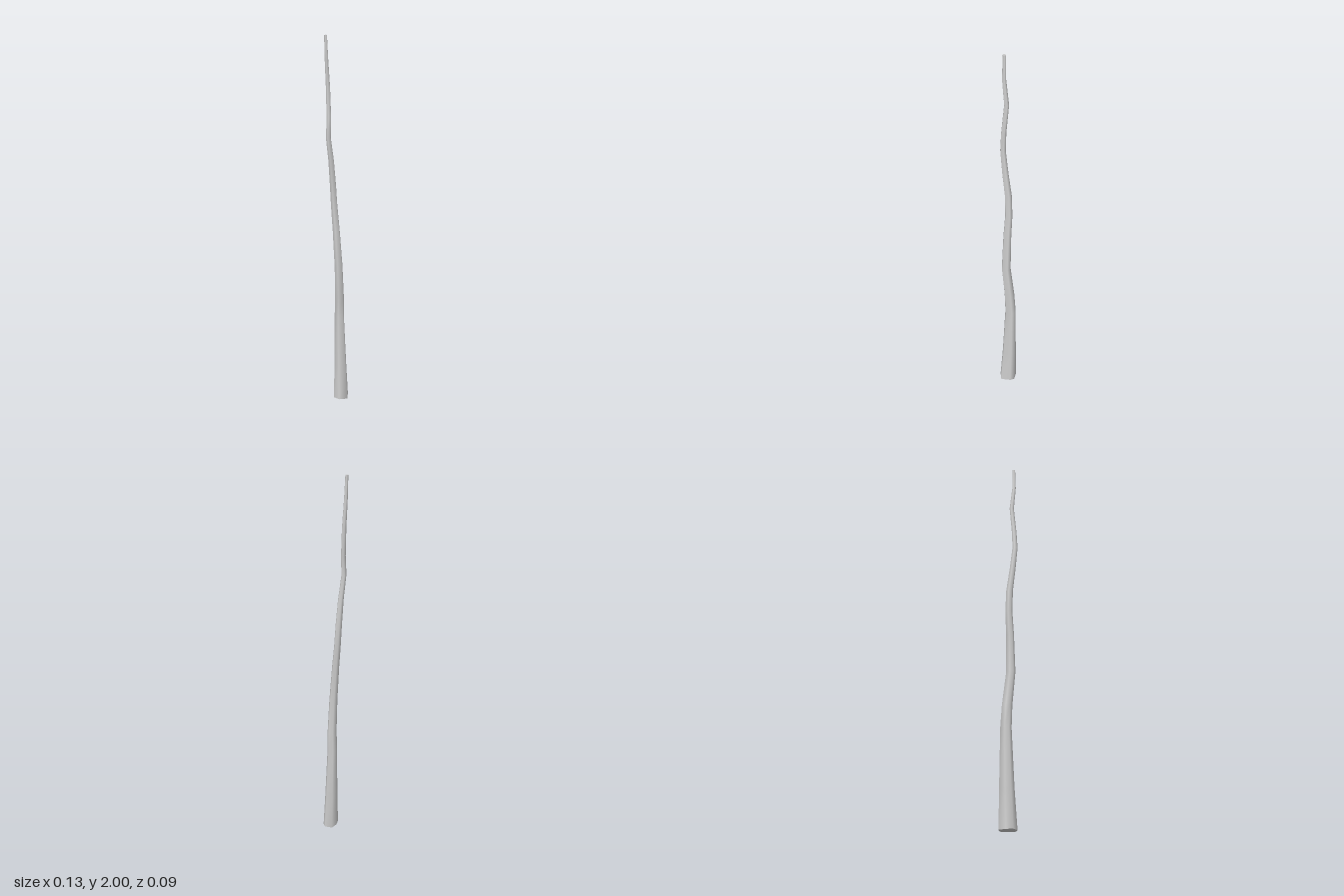
import * as THREE from 'three';

// Trunk stations: height, centre x, centre z, radius
const STATIONS = [
  [0, 0.018, 0.004, 0.046], [0.2, 0.019, -0.004, 0.038], [0.5, 0.018, -0.013, 0.029],
  [0.62, 0.015, -0.008, 0.027], [0.8, -0.001, 0.002, 0.024], [1.0, -0.007, -0.01, 0.021],
  [1.13, -0.01, -0.022, 0.019], [1.25, -0.017, -0.024, 0.018], [1.38, -0.034, -0.018, 0.016],
  [1.5, -0.052, -0.018, 0.014], [1.6, -0.047, -0.019, 0.013], [1.75, -0.041, -0.032, 0.012],
  [1.88, -0.054, -0.027, 0.01], [2, -0.056, -0.031, 0.008],
];

// Uneven cross-section (x, z) at unit radius
const SECTION = [
  [1, -0.3], [0.85, 0.2], [0, 1], [-0.83, 0.48], [-1, -0.3], [-0.4, -0.8], [0.45, -1],
];

const ring = ([y, cx, cz, r]) => SECTION.map(([x, z]) => [cx + x * r, y, cz + z * r]);

function build(points, index) {
  const geometry = new THREE.BufferGeometry();
  geometry.setAttribute('position', new THREE.Float32BufferAttribute(points.flat(), 3));
  geometry.setIndex(index);
  geometry.computeVertexNormals();
  return geometry;
}

// Skin joining consecutive rings
function skin() {
  const n = SECTION.length;
  const index = [];
  for (let s = 0; s < STATIONS.length - 1; s++) {
    for (let i = 0; i < n; i++) {
      const a = s * n + i, b = s * n + (i + 1) % n;
      index.push(a, a + n, b, b, a + n, b + n);
    }
  }
  return build(STATIONS.flatMap(ring), index);
}

// Flat end cap as a fan
function cap(station, up) {
  const index = [];
  for (let i = 1; i < SECTION.length - 1; i++) index.push(0, up ? i + 1 : i, up ? i : i + 1);
  return build(ring(station), index);
}

export function createModel() {
  const group = new THREE.Group();
  group.name = 'crookedPole';
  const material = new THREE.MeshStandardMaterial({ color: 0xcccccc });
  const add = (name, geometry) => {
    const mesh = new THREE.Mesh(geometry, material);
    mesh.name = name;
    group.add(mesh);
  };
  add('trunk', skin());
  add('trunkBase', cap(STATIONS[0], false));
  add('trunkTip', cap(STATIONS[STATIONS.length - 1], true));
  return group;
}
